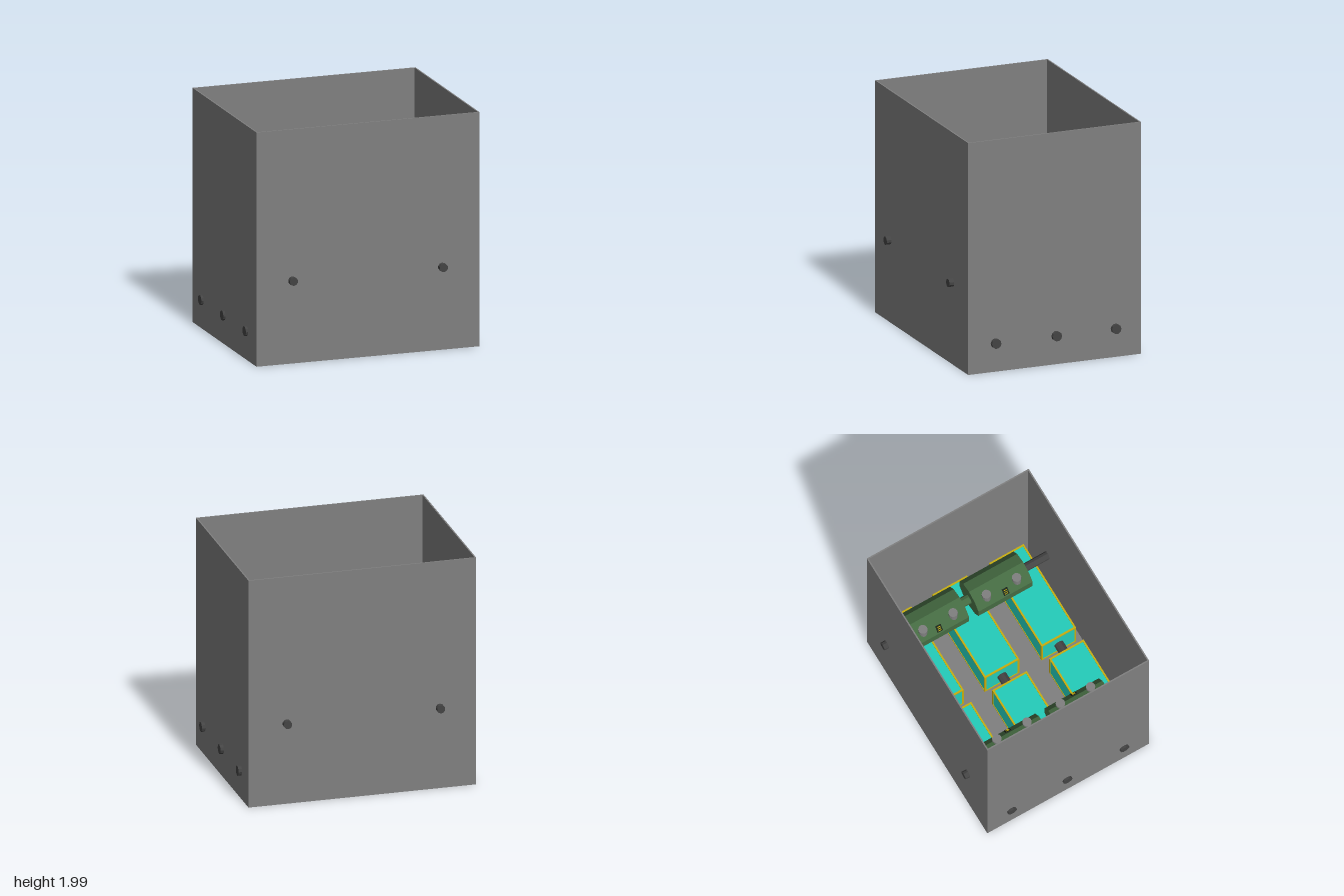
import * as THREE from 'three';

const mat = (name, color) => {
  const m = new THREE.MeshStandardMaterial({ color, flatShading: true });
  m.name = name;
  return m;
};

export function createModel() {
  const model = new THREE.Group();
  const grey = mat('casing grey', 0x808080);
  const dark = mat('rod charcoal', 0x444444);
  const green = mat('drum green', 0x456b42);
  const teal = mat('panel teal', 0x24ccba);
  const yellow = mat('frame yellow', 0xc8ae10);
  const black = mat('label black', 0x1e2a1c);

  const add = (parent, name, geo, material, x, y, z) => {
    const mesh = new THREE.Mesh(geo, material);
    mesh.name = name;
    mesh.position.set(x, y, z);
    parent.add(mesh);
    return mesh;
  };
  const box = (parent, name, material, w, h, d, x, y, z) =>
    add(parent, name, new THREE.BoxGeometry(w, h, d), material, x, y, z);
  // Ten-sided bars along x or z
  const barX = (r, l) => new THREE.CylinderGeometry(r, r, l, 10).rotateZ(Math.PI / 2);
  const barZ = (r, l) => new THREE.CylinderGeometry(r, r, l, 10).rotateX(-Math.PI / 2);
  const group = (name) => {
    const g = new THREE.Group();
    g.name = name;
    model.add(g);
    return g;
  };

  // Open-topped casing
  const casing = group('casing');
  const H = 1.99, W = 1.95, D = 1.545, T = 0.012, cx = -0.005, cz = -0.005;
  box(casing, 'floor', grey, W - 2 * T, T, D - 2 * T, cx, T / 2, cz);
  for (const s of [-1, 1]) {
    box(casing, s > 0 ? 'frontWall' : 'backWall', grey, W, H, T, cx, H / 2, cz + s * (D - T) / 2);
    box(casing, s > 0 ? 'leftWall' : 'rightWall', grey, T, H, D - 2 * T, cx + s * (W - T) / 2, H / 2, cz);
  }

  // Lower rods, each carrying two framed blocks
  const bw = 0.85, bs = 0.33, e = 0.015;
  for (const z of [-0.548, -0.018, 0.525]) {
    add(model, 'lowerRod', barX(0.042, 2), dark, 0, 0.245, z);
    for (const x of [-0.475, 0.495]) {
      const block = group('framedBlock');
      block.position.set(x, 0.245, z);
      box(block, 'panelBlock', teal, bw - 0.01, bs - 0.01, bs - 0.01, 0, 0, 0);
      for (const a of [-1, 1]) for (const b of [-1, 1]) {
        const o = (bs - e) / 2, ox = (bw - e) / 2;
        box(block, 'longEdge', yellow, bw, e, e, 0, a * o, b * o);
        box(block, 'uprightEdge', yellow, e, bs - 2 * e, e, a * ox, 0, b * o);
        box(block, 'crossEdge', yellow, e, e, bs - 2 * e, a * ox, b * o, 0);
      }
    }
  }

  // Upper rods with paired drums, studs and labels on the inner slopes
  const R = 0.162, rodY = 0.705;
  const sides = [
    { x: -0.668, s: 1, drums: [-0.305, 0.302], labels: [-0.325, 0.305] },
    { x: 0.643, s: -1, drums: [-0.343, 0.263], labels: [-0.355, 0.28] },
  ];
  for (const { x, s, drums, labels } of sides) {
    add(model, 'upperRod', barZ(0.036, 1.63), dark, x, rodY, -0.005);
    add(model, 'drumCoupling', barZ(0.043, 0.2), green, x, rodY, (drums[0] + drums[1]) / 2);
    drums.forEach((z, i) => {
      const drum = group('drum');
      drum.position.set(x, rodY, z);
      add(drum, 'drumBody', barZ(R, 0.516), green, 0, 0, 0);
      for (const dz of [-0.145, 0.143])
        add(drum, 'stud', new THREE.CylinderGeometry(0.039, 0.039, 0.08, 16), grey, s * 0.09, 0.125, dz);

      // Label plate lying on the facet whose normal is 54 degrees from upright
      const label = new THREE.Group();
      label.name = 'label';
      const tilt = 0.3 * Math.PI, apothem = R * Math.cos(Math.PI / 10);
      label.position.set(s * Math.sin(tilt) * apothem, Math.cos(tilt) * apothem, labels[i] - z);
      label.rotation.z = -s * tilt;
      box(label, 'labelPlate', black, 0.065, 0.008, 0.05, 0, 0.003, 0);
      for (const dx of [-0.018, 0, 0.018])
        box(label, 'labelMark', yellow, 0.006, 0.004, 0.028, dx, 0.008, 0);
      drum.add(label);
    });
  }
  return model;
}
